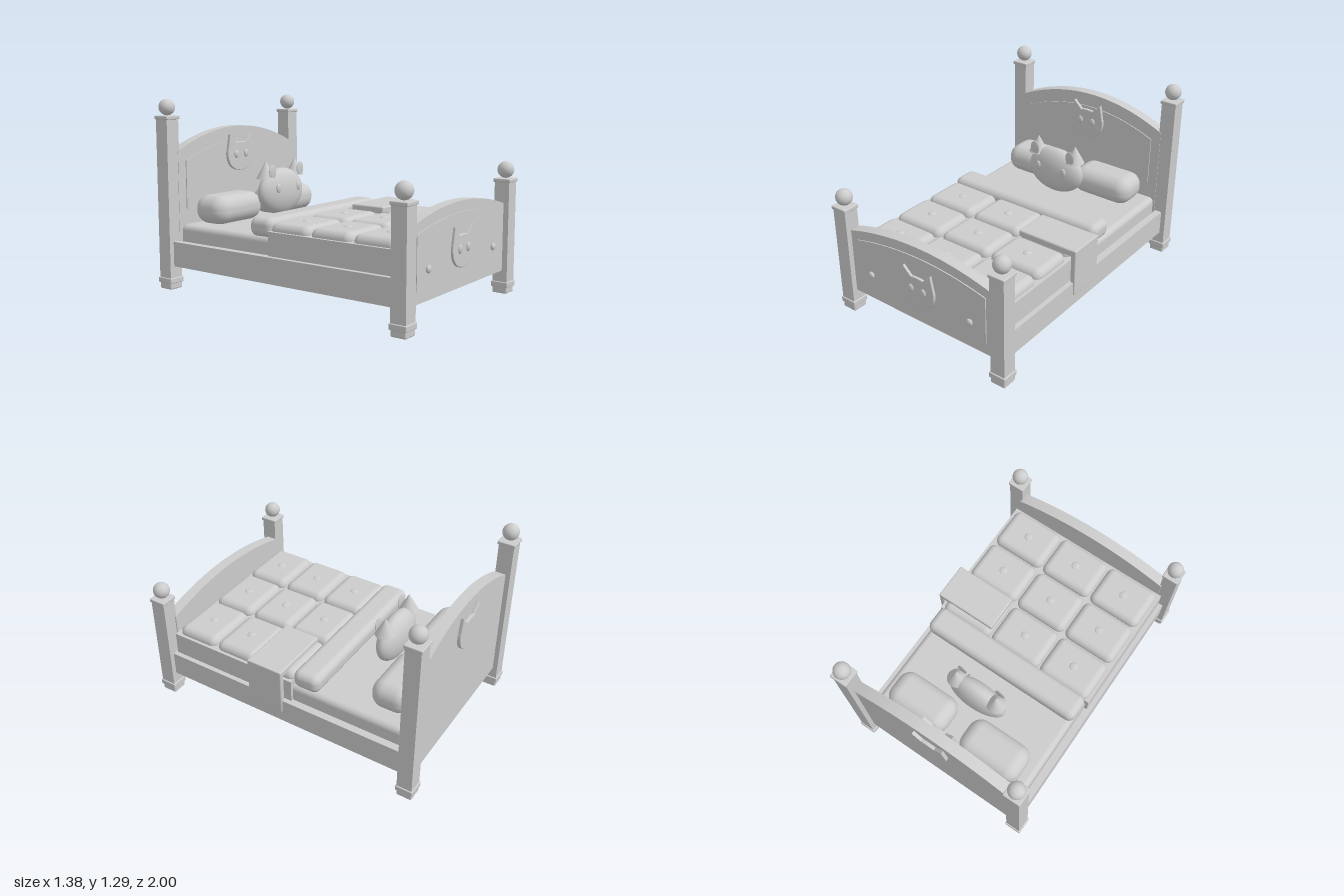
import * as THREE from 'three';
import { RoundedBoxGeometry } from 'three/addons/geometries/RoundedBoxGeometry.js';

export function createModel() {
  const model = new THREE.Group();
  model.name = 'bed';
  const grey = new THREE.MeshStandardMaterial({ color: 0xcccccc });
  grey.name = 'plain grey';

  function add(name, geometry, x, y, z, parent = model) {
    const mesh = new THREE.Mesh(geometry, grey);
    mesh.name = name;
    mesh.position.set(x, y, z);
    parent.add(mesh);
    return mesh;
  }
  const box = (name, w, h, d, x, y, z, parent) =>
    add(name, new THREE.BoxGeometry(w, h, d), x, y, z, parent);
  const soft = (name, w, h, d, r, x, y, z, parent) =>
    add(name, new RoundedBoxGeometry(w, h, d, 5, r), x, y, z, parent);
  function ball(name, rx, ry, rz, x, y, z, parent) {
    const mesh = add(name, new THREE.SphereGeometry(1, 32, 20), x, y, z, parent);
    mesh.scale.set(rx, ry, rz);
    return mesh;
  }

  // Corner posts with foot, band, cap and ball
  function post(name, x, z, top) {
    const g = new THREE.Group();
    g.name = name;
    g.position.set(x, 0, z);
    model.add(g);
    soft('foot', 0.106, 0.05, 0.106, 0.01, 0, 0.025, 0, g);
    soft('band', 0.12, 0.038, 0.12, 0.006, 0, 0.061, 0, g);
    box('shaft', 0.104, top - 0.06, 0.104, 0, top / 2 + 0.02, 0, g);
    soft('cap', 0.12, 0.025, 0.12, 0.006, 0, top - 0.0125, 0, g);
    ball('finial', 0.055, 0.055, 0.055, 0, top + 0.056, 0, g);
  }
  for (const side of [-1, 1]) {
    post('frontPost', side * 0.63, 0.94, 0.775);
    post('backPost', side * 0.63, -0.94, 1.183);
    box('sideRail', 0.05, 0.17, 1.8, side * 0.623, 0.245, 0);
  }
  box('bedBase', 1.22, 0.03, 1.8, 0, 0.187, 0);

  // Boards and panels with an arched top edge
  function archedBoard(name, half, bottom, edge, peak, depth, z) {
    const s = new THREE.Shape();
    s.moveTo(-half, bottom);
    s.lineTo(half, bottom);
    s.lineTo(half, edge);
    s.quadraticCurveTo(0, 2 * peak - edge, -half, edge);
    s.closePath();
    add(name, new THREE.ExtrudeGeometry(s, { depth, bevelEnabled: false, curveSegments: 32 }), 0, 0, z);
  }
  archedBoard('footboard', 0.59, 0.157, 0.61, 0.70, 0.075, 0.88);
  archedBoard('footPanel', 0.522, 0.233, 0.565, 0.632, 0.008, 0.954);
  archedBoard('headboard', 0.59, 0.157, 0.942, 1.085, 0.075, -0.96);
  archedBoard('headPanel', 0.522, 0.535, 0.874, 0.99, 0.008, -0.886);

  // Cat head plaques
  const cat = new THREE.Shape();
  cat.moveTo(-0.05, 0.078);
  cat.quadraticCurveTo(0, 0.088, 0.05, 0.078);
  cat.lineTo(0.107, 0.135);
  cat.lineTo(0.124, 0.04);
  cat.bezierCurveTo(0.145, -0.03, 0.11, -0.115, 0, -0.115);
  cat.bezierCurveTo(-0.11, -0.115, -0.145, -0.03, -0.124, 0.04);
  cat.lineTo(-0.107, 0.135);
  cat.closePath();
  const catGeometry = new THREE.ExtrudeGeometry(cat, {
    depth: 0.014, bevelThickness: 0.005, bevelSize: 0.005, bevelSegments: 2, curveSegments: 20,
  });
  function plaque(name, y, z, hasEyes) {
    add(name, catGeometry, 0, y, z);
    if (!hasEyes) return;
    for (const side of [-1, 1]) ball(name + 'Eye', 0.021, 0.029, 0.012, side * 0.051, y, z + 0.02);
  }
  plaque('footPlaque', 0.41, 0.96, true);
  plaque('headPlaque', 0.885, -0.872, true);
  plaque('rearPlaque', 0.885, -0.98, false);
  for (const side of [-1, 1]) ball('footboardKnob', 0.024, 0.024, 0.014, side * 0.406, 0.35, 0.972);

  // Mattress, quilt and folded edge
  soft('mattress', 1.19, 0.25, 1.75, 0.04, 0, 0.32, 0);
  box('quiltBase', 1.232, 0.165, 0.945, 0, 0.403, 0.403);
  for (const x of [-0.4, 0, 0.4]) {
    for (const z of [0.075, 0.392, 0.709]) {
      soft('quiltSquare', 0.39, 0.12, 0.307, 0.05, x, 0.479, z);
      ball('quiltButton', 0.029, 0.01, 0.029, x, 0.537, z);
    }
  }
  soft('quiltFold', 1.195, 0.127, 0.19, 0.05, 0, 0.497, -0.158);

  // Throw hanging over the left side
  soft('throwTop', 0.44, 0.05, 0.26, 0.012, 0.435, 0.54, 0.11);
  soft('throwDrop', 0.036, 0.33, 0.26, 0.008, 0.64, 0.4, 0.11);

  // Pillows
  for (const side of [-1, 1]) soft('pillow', 0.46, 0.196, 0.268, 0.09, side * 0.29, 0.543, -0.704);

  // Cat cushion
  const cushion = new THREE.Group();
  cushion.name = 'catCushion';
  cushion.position.set(0, 0.642, -0.483);
  model.add(cushion);
  ball('cushionBody', 0.22, 0.163, 0.085, 0, 0, 0, cushion);
  for (const side of [-1, 1]) {
    add('cushionEar', new THREE.ConeGeometry(0.066, 0.122, 32), side * 0.155, 0.163, 0, cushion);
    ball('cushionInnerEar', 0.036, 0.05, 0.008, side * 0.148, 0.15, 0.056, cushion);
    ball('cushionEye', 0.021, 0.032, 0.012, side * 0.105, 0.032, 0.073, cushion);
  }

  return model;
}
